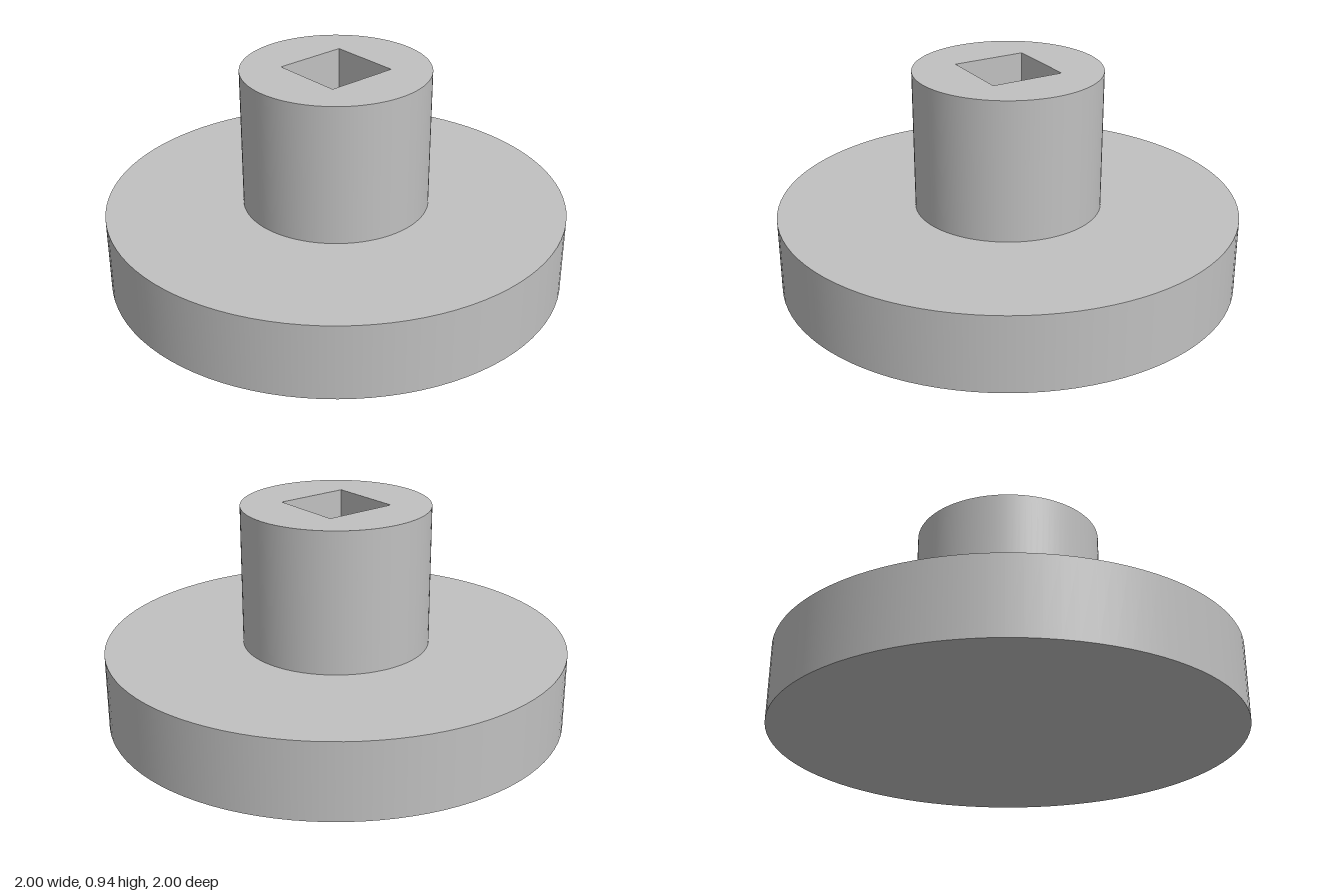
import * as THREE from 'three';

const SEGMENTS = 96;
const BASE_R = 1, HUB_R = 0.405, SOCKET_R = 0.23;
const BASE_TOP = 0.33, HUB_TOP = 0.94;

// Regular polygon outline with a corner on each axis
function outline(radius, sides) {
  return Array.from({ length: sides }, (_, i) => {
    const a = (i / sides) * Math.PI * 2;
    return new THREE.Vector2(Math.cos(a) * radius, Math.sin(a) * radius);
  });
}

// Horizontal face at height y, facing up, with an optional hole
function plate(outer, y, hole) {
  const shape = new THREE.Shape(outer);
  if (hole) shape.holes.push(new THREE.Path(hole));
  return new THREE.ShapeGeometry(shape).rotateX(-Math.PI / 2).translate(0, y, 0);
}

// Open vertical wall between two heights
function wall(radius, y0, y1, sides = SEGMENTS) {
  return new THREE.CylinderGeometry(radius, radius, y1 - y0, sides, 1, true)
    .translate(0, (y0 + y1) / 2, 0);
}

export function createModel() {
  const grey = new THREE.MeshStandardMaterial({ color: 0xc0c0c0 });
  grey.name = 'grey';
  const model = new THREE.Group();
  model.name = 'flangedHub';
  const add = (name, geometry) => {
    const mesh = new THREE.Mesh(geometry, grey);
    mesh.name = name;
    model.add(mesh);
  };

  const baseRing = outline(BASE_R, SEGMENTS);
  const hubRing = outline(HUB_R, SEGMENTS);
  const square = outline(SOCKET_R, 4);

  // Round base flange
  add('baseRim', wall(BASE_R, 0, BASE_TOP));
  add('baseTop', plate(baseRing, BASE_TOP, hubRing));
  add('baseBottom', plate(baseRing, 0).rotateX(Math.PI));

  // Central hub
  add('hubSide', wall(HUB_R, BASE_TOP, HUB_TOP));
  add('hubTop', plate(hubRing, HUB_TOP, square));

  // Square socket, mirrored so its walls face inward
  const socket = wall(SOCKET_R, BASE_TOP, HUB_TOP, 4).scale(-1, 1, 1).toNonIndexed();
  socket.computeVertexNormals();
  add('socketWalls', socket);
  add('socketFloor', plate(square, BASE_TOP));

  return model;
}
